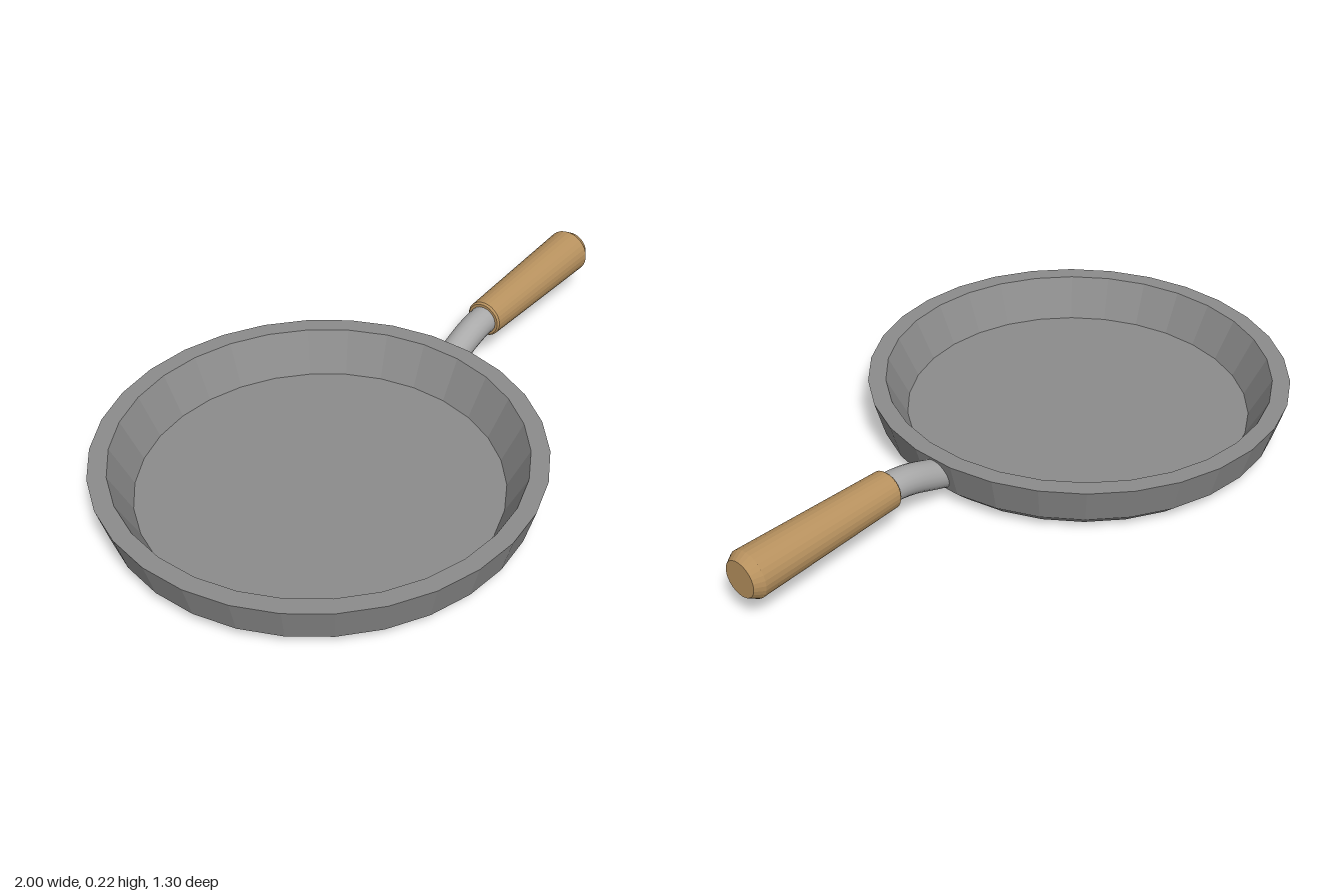
import * as THREE from 'three';

const lathe = (points, sides, material, name) => {
  const profile = points.map(([r, y]) => new THREE.Vector2(r, y));
  const mesh = new THREE.Mesh(new THREE.LatheGeometry(profile, sides), material);
  mesh.name = name;
  return mesh;
};

export function createModel() {
  const group = new THREE.Group();
  group.name = 'fryingPan';

  const iron = new THREE.MeshStandardMaterial({ name: 'dark iron', color: 0x8c8c8c, flatShading: true });
  const steel = new THREE.MeshStandardMaterial({ name: 'light steel', color: 0xaaaaaa });
  const wood = new THREE.MeshStandardMaterial({ name: 'wood', color: 0xb8925f, flatShading: true });

  // Pan body: underside, bevel, flared wall, flat rim, inner wall, floor
  const pan = lathe([
    [0, 0], [0.571, 0], [0.616, 0.042], [0.648, 0.155],
    [0.594, 0.155], [0.531, 0.031], [0, 0.031],
  ], 30, iron, 'panBody');
  pan.position.x = -0.355;
  group.add(pan);

  // Bent metal stem from the wall into the grip
  const path = new THREE.CatmullRomCurve3([
    [0.245, 0.084], [0.29, 0.1], [0.38, 0.132], [0.44, 0.144], [0.5, 0.146],
  ].map(([x, y]) => new THREE.Vector3(x, y, 0)));
  const stem = new THREE.Mesh(new THREE.TubeGeometry(path, 16, 0.045, 20), steel);
  stem.name = 'handleStem';
  group.add(stem);

  // Tapered wooden grip with bevelled ends, turned along x
  const grip = lathe([
    [0, 0.468], [0.053, 0.468], [0.058, 0.474],
    [0.072, 0.972], [0.055, 1], [0, 1],
  ], 28, wood, 'handleGrip');
  grip.rotation.z = -Math.PI / 2;
  grip.position.y = 0.146;
  group.add(grip);

  return group;
}
